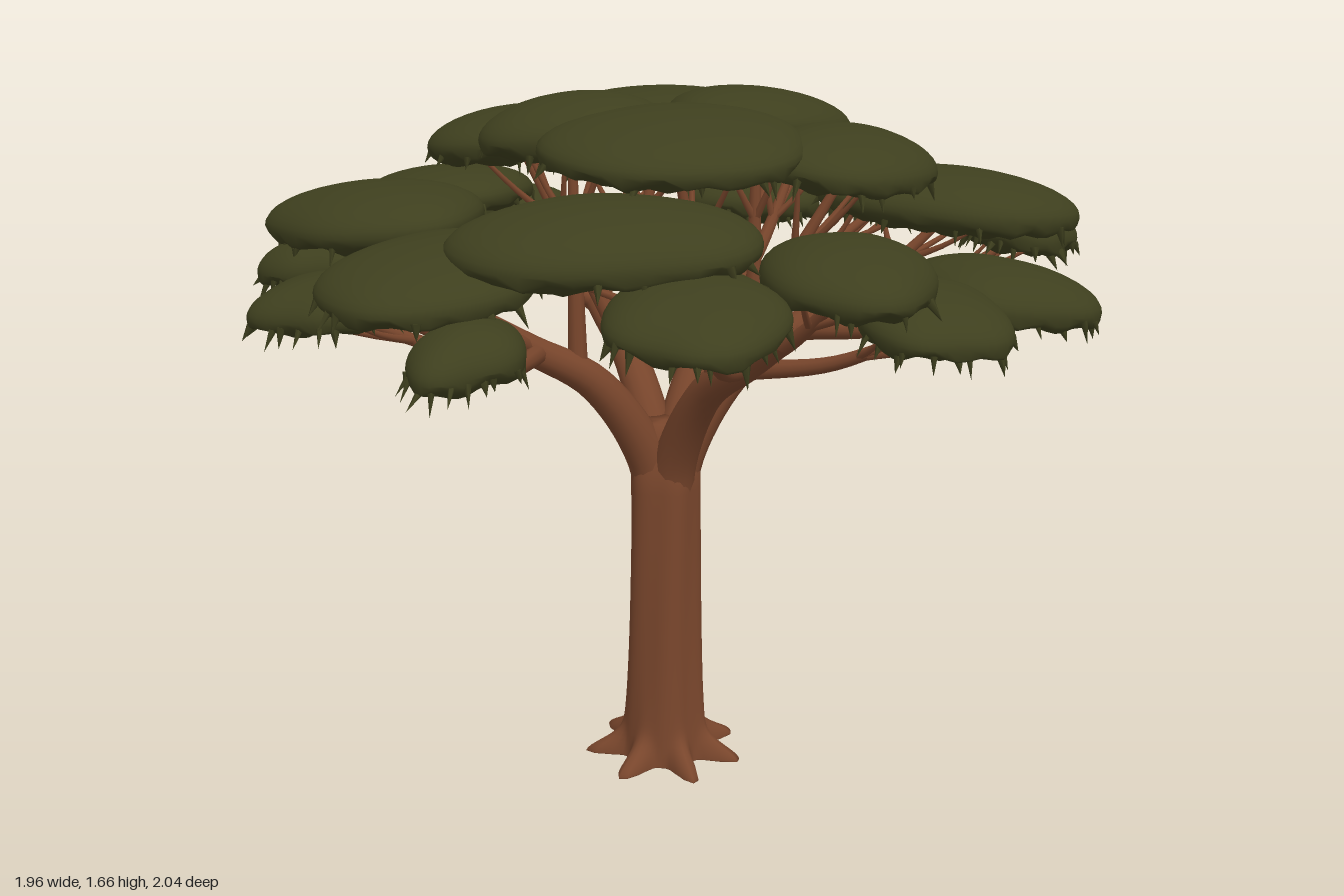
import * as THREE from 'three';
import { mergeGeometries, mergeVertices } from 'three/addons/utils/BufferGeometryUtils.js';

const V = (x, y, z) => new THREE.Vector3(x, y, z);

// Small seeded generator for irregular details
let seed = 7;
const rand = () => {
  seed = (seed * 16807) % 2147483647;
  return seed / 2147483647;
};

// Canopy pads: x, z, half length, half width, turn, bottom y, top y
const TOP_PADS = [
  [-0.12, -0.27, 0.26, 0.29, 0, 1.52, 1.64],
  [0.16, -0.14, 0.19, 0.23, -0.6, 1.535, 1.66],
  [-0.19, 0.13, 0.21, 0.2, 0, 1.53, 1.66],
  [0.1, 0.25, 0.29, 0.26, 0.6, 1.52, 1.645],
  [-0.41, -0.07, 0.22, 0.24, 0, 1.475, 1.605],
  [0.42, 0.03, 0.19, 0.25, 0, 1.475, 1.6],
];
const MID_PADS = [
  [0.06, 0.57, 0.32, 0.22, 0.35, 1.36, 1.505],
  [-0.27, 0.65, 0.23, 0.27, 0, 1.29, 1.42],
  [0.52, 0.39, 0.18, 0.21, 0.2, 1.295, 1.425],
  [0.58, -0.36, 0.3, 0.23, 0.25, 1.32, 1.465],
  [0.13, -0.6, 0.16, 0.25, -0.1, 1.4, 1.525],
  [0.36, -0.66, 0.18, 0.27, 0.1, 1.29, 1.42],
  [-0.33, -0.62, 0.21, 0.27, 0.2, 1.36, 1.48],
  [-0.67, -0.19, 0.22, 0.21, -0.3, 1.31, 1.43],
  [-0.6, 0.3, 0.27, 0.21, -0.3, 1.33, 1.465],
];
const LOW_PADS = [
  [-0.07, -0.8, 0.2, 0.18, -0.4, 1.22, 1.35],
  [0.75, -0.04, 0.2, 0.18, 0.1, 1.19, 1.315],
  [0.67, 0.28, 0.15, 0.2, 0, 1.2, 1.32],
  [0.3, 0.69, 0.18, 0.2, 0, 1.27, 1.385],
  [-0.11, 0.85, 0.11, 0.13, 0, 1.2, 1.31],
  [-0.55, 0.59, 0.17, 0.14, 0, 1.21, 1.32],
  [-0.79, 0.1, 0.17, 0.18, 0, 1.21, 1.33],
  [-0.64, -0.51, 0.16, 0.15, 0, 1.22, 1.335],
  [-0.72, 0.38, 0.12, 0.1, -0.3, 1.24, 1.35],
  [0.73, -0.44, 0.13, 0.15, 0.2, 1.26, 1.38],
  [0.3, -0.81, 0.13, 0.1, 0, 1.24, 1.35],
];

// Tube that tapers from r0 to r1
function taper(points, r0, r1, seg = 14, sides = 9) {
  const curve = new THREE.CatmullRomCurve3(points);
  const geo = new THREE.TubeGeometry(curve, seg, 1, sides);
  const p = geo.attributes.position, v = V();
  for (let i = 0; i <= seg; i++) {
    const c = curve.getPointAt(i / seg);
    const r = r0 + (r1 - r0) * (i / seg);
    for (let j = 0; j <= sides; j++) {
      const k = i * (sides + 1) + j;
      v.fromBufferAttribute(p, k).sub(c).multiplyScalar(r).add(c);
      p.setXYZ(k, v.x, v.y, v.z);
    }
  }
  return geo;
}

// Trunk column, flared into a star of roots at the ground
function trunkGeometry() {
  let geo = new THREE.CylinderGeometry(1, 1, 1, 70, 36);
  geo.deleteAttribute('uv');
  geo.deleteAttribute('normal');
  geo = mergeVertices(geo);
  const p = geo.attributes.position;
  for (let i = 0; i < p.count; i++) {
    const u = p.getY(i) + 0.5, y = 0.88 * Math.pow(u, 1.8);
    const a = Math.atan2(p.getZ(i), p.getX(i));
    const lobe = Math.pow(0.5 + 0.5 * Math.cos(7 * a + 0.5 * Math.sin(2 * a)), 2);
    let r = 0.082 + 0.02 * Math.exp(-y / 0.3) + 0.004 * Math.cos(5 * a + 3 * y);
    r += 0.085 * lobe * Math.exp(-Math.pow(y / 0.045, 2)) + 0.012 * lobe * Math.exp(-y / 0.12);
    r *= 1 - 0.45 * THREE.MathUtils.smoothstep(y, 0.74, 0.88);
    p.setXYZ(i, p.getX(i) * r - 0.017, y, p.getZ(i) * r);
  }
  geo.computeVertexNormals();
  return geo;
}

// Domed leaf pad with a flat underside and ragged tips round its rim;
// point stretches the side that faces away from the trunk
function padGeometry([x, z, rx, rz, turn, yb, yt], ragged, slope, point) {
  const phase = rand() * 6.28, dist = Math.hypot(x, z);
  const outward = Math.atan2(z, x) + turn;
  const T = yt - yb, rimY = yb + T * 0.38;
  const place = (dx, dy, dz) => {
    const a = Math.atan2(dz, dx);
    const w = 1 + ragged * (Math.cos(3 * a + phase) + 0.6 * Math.cos(5 * a - 2 * phase))
      + point * Math.pow(Math.max(0, Math.cos(a - outward)), 8);
    const lx = dx * rx * w, lz = dz * rz * w;
    const px = lx * Math.cos(turn) + lz * Math.sin(turn);
    const pz = lz * Math.cos(turn) - lx * Math.sin(turn);
    const drop = slope * (px * x + pz * z) / dist;
    const under = 0.38 * Math.sign(dy) * Math.pow(Math.abs(dy), 0.7);
    const wave = dy < 0 ? 0.012 * Math.sin(px * 45 + phase) * Math.cos(pz * 38) : 0;
    return V(x + px, rimY + T * (dy > 0 ? 0.62 * dy : under) + wave - drop, z + pz);
  };
  let geo = new THREE.SphereGeometry(1, 40, 20);
  geo.deleteAttribute('uv');
  geo.deleteAttribute('normal');
  geo = mergeVertices(geo);
  const p = geo.attributes.position;
  for (let i = 0; i < p.count; i++) {
    const q = place(p.getX(i), p.getY(i), p.getZ(i));
    p.setXYZ(i, q.x, q.y, q.z);
  }
  geo.computeVertexNormals();

  const parts = [geo], n = point > 0.05 ? 22 : 12;
  for (let i = 0; i < n; i++) {
    const a = (i + rand()) / n * Math.PI * 2;
    const k = 0.88 + 0.12 * rand();
    const at = place(Math.cos(a) * k, -Math.sqrt(1 - k * k), Math.sin(a) * k);
    const dir = V(at.x - x, 0, at.z - z).normalize().multiplyScalar(0.2 + 1.3 * rand() * rand());
    dir.y = -1;
    const len = 0.025 + 0.03 * rand();
    const tip = new THREE.ConeGeometry(0.007 + 0.005 * rand(), len, 5);
    tip.deleteAttribute('uv');
    tip.translate(0, len * 0.35, 0);
    tip.applyQuaternion(new THREE.Quaternion().setFromUnitVectors(V(0, 1, 0), dir.normalize()));
    tip.translate(at.x, at.y, at.z);
    parts.push(tip);
  }
  return mergeGeometries(parts);
}

export function createModel() {
  const bark = new THREE.MeshStandardMaterial({ color: 0x79462c });
  bark.name = 'bark';
  const leaf = new THREE.MeshStandardMaterial({ color: 0x3e3f1e });
  leaf.name = 'leaf';
  const tree = new THREE.Group();
  tree.name = 'tree';
  const add = (parent, name, geo, mat) => {
    const m = new THREE.Mesh(geo, mat);
    m.name = name;
    parent.add(m);
  };
  const group = name => {
    const g = new THREE.Group();
    g.name = name;
    tree.add(g);
    return g;
  };

  add(tree, 'trunk', trunkGeometry(), bark);

  // Main limbs spreading from the fork
  const limbs = group('limbs');
  const dirs = [[-0.72, 0.68], [0.78, 0.62], [0.14, -0.95], [-0.74, -0.66], [0.8, -0.58]];
  const limbCurves = dirs.map(([dx, dz]) => {
    const pts = [[0.005, 0.6], [0.05, 0.8], [0.18, 0.99], [0.34, 1.09], [0.48, 1.18]]
      .map(([r, y]) => V(dx * r - 0.015, y, dz * r));
    add(limbs, 'limb', taper(pts, 0.06, 0.028, 24, 14), bark);
    return new THREE.CatmullRomCurve3(pts);
  });

  // Each pad gets a branch from the nearest limb and a fan of twigs
  const branches = group('branches');
  const canopy = group('canopy');
  const tiers = [
    [TOP_PADS, 'topPad', 0.022, 0.1, 0, 0.62, 0.5],
    [MID_PADS, 'middlePad', 0.03, 0.08, 0.04, 0.8, 0.4],
    [LOW_PADS, 'lowerPad', 0.045, 0.12, 0.16, 0.76, 0.3],
  ];
  for (const [pads, name, ragged, slope, point, t, bend] of tiers) {
    for (const pad of pads) {
      const [x, z, rx, rz, , yb, yt] = pad;
      add(canopy, name, padGeometry(pad, ragged, slope, point), leaf);

      let best = 0;
      dirs.forEach(([dx, dz], i) => {
        if (dx * x + dz * z > dirs[best][0] * x + dirs[best][1] * z) best = i;
      });
      const start = limbCurves[best].getPointAt(t);
      const end = V(x, yb + (yt - yb) * 0.25, z);
      const mid = start.clone().lerp(end, 0.5);
      mid.y = start.y + (end.y - start.y) * bend;
      const path = [start, mid, end];
      add(branches, 'branch', taper(path, 0.024, 0.009), bark);

      const fork = new THREE.CatmullRomCurve3(path).getPointAt(0.6);
      for (let i = 0; i < 3; i++) {
        const a = i * Math.PI * 2 / 3 + rand();
        const tip = V(x + Math.cos(a) * rx * 0.55, end.y, z + Math.sin(a) * rz * 0.55);
        const knee = fork.clone().lerp(tip, 0.5);
        knee.y -= 0.01;
        add(branches, 'twig', taper([fork, knee, tip], 0.01, 0.004, 6, 6), bark);
      }
    }
  }
  return tree;
}
